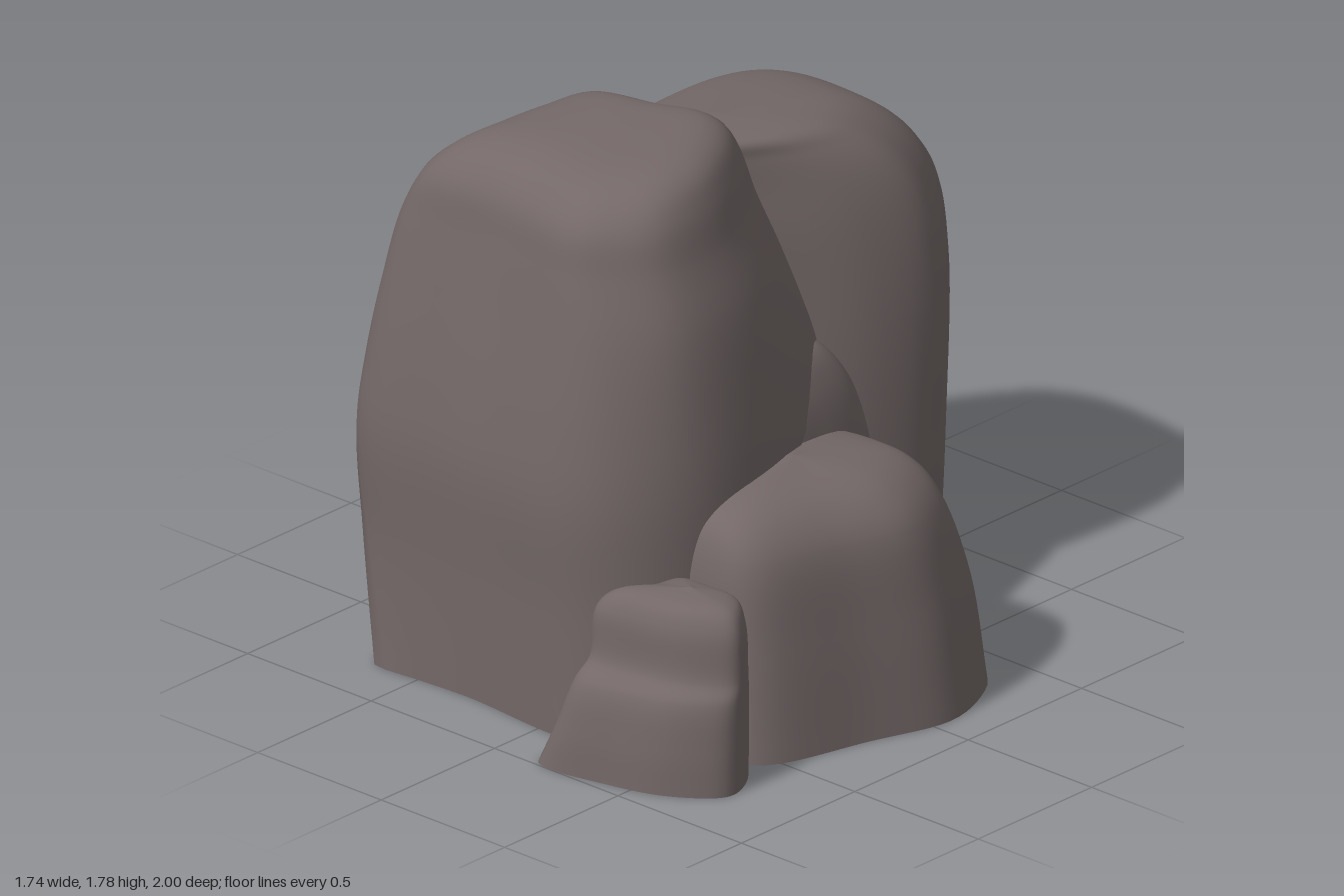
import * as THREE from 'three';

const SIDES = 72, STEPS = 7;

// Smooth closed plan outline, sampled evenly and turned to face outward
function samplePlan(points) {
  const curve = new THREE.CatmullRomCurve3(
    points.map(([x, z]) => new THREE.Vector3(x, 0, z)), true, 'centripetal');
  const ring = curve.getSpacedPoints(SIDES).slice(0, SIDES).map(p => new THREE.Vector2(p.x, p.z));
  if (THREE.ShapeUtils.area(ring) > 0) ring.reverse();
  return ring;
}

// Rows of points up a boulder: the outline changes from foot to plan with height and is
// fitted to each level [y, x0, x1, z0, z1]; the crown may lean by slope [x, z],
// and apex [x, y, z] closes it
function boulderRows({ plan, foot = plan, levels, apex, slope = [0, 0] }) {
  const upper = samplePlan(plan), lower = samplePlan(foot);
  const columns = upper.map(() => []);
  for (const [y, x0, x1, z0, z1] of levels) {
    const ring = lower.map((p, i) => p.clone().lerp(upper[i], Math.min(1, y / apex[1] * 1.15)));
    const box = new THREE.Box2().setFromPoints(ring);
    const size = box.getSize(new THREE.Vector2());
    const lean = (y / apex[1]) ** 3;
    ring.forEach((p, i) => {
      const x = x0 + (x1 - x0) * (p.x - box.min.x) / size.x;
      const z = z0 + (z1 - z0) * (p.y - box.min.y) / size.y;
      const rise = lean * (slope[0] * (x - apex[0]) + slope[1] * (z - apex[2]));
      columns[i].push(new THREE.Vector3(x, y + rise, z));
    });
  }
  const curves = columns.map(points =>
    new THREE.CatmullRomCurve3([...points, new THREE.Vector3(...apex)], false, 'centripetal')
      .getPoints(levels.length * STEPS));
  return curves[0].map((_, r) => {
    const points = curves.map(curve => curve[r]);
    return { points, y: points.reduce((sum, p) => sum + p.y, 0) / SIDES };
  });
}

// True where a point is buried in a boulder given by its rows
function buried(p, rows) {
  const row = rows.find(r => r.y >= p.y);
  if (!row) return false;
  let inside = false;
  row.points.forEach((a, i) => {
    const b = row.points[(i + 1) % SIDES];
    if ((a.z > p.z) !== (b.z > p.z) && p.x < a.x + (b.x - a.x) * (p.z - a.z) / (b.z - a.z)) inside = !inside;
  });
  return inside;
}

// Skin over the rows, open at the base, leaving out faces buried in the other boulders
function boulderSkin(rows, others) {
  const points = rows.flatMap(row => row.points);
  const index = [];
  for (let r = 0; r < rows.length - 1; r++) {
    for (let i = 0; i < SIDES; i++) {
      const a = r * SIDES + i, b = r * SIDES + (i + 1) % SIDES;
      index.push(a, b, b + SIDES, a, b + SIDES, a + SIDES);
    }
  }
  const geometry = new THREE.BufferGeometry().setFromPoints(points);
  geometry.setIndex(index);
  geometry.computeVertexNormals();
  const hidden = points.map(p => others.some(other => buried(p, other)));
  const kept = [];
  for (let t = 0; t < index.length; t += 3) {
    const face = index.slice(t, t + 3);
    if (!face.every(v => hidden[v])) kept.push(...face);
  }
  geometry.setIndex(kept);
  return geometry;
}

const rocks = {
  // Tallest boulder at the front, undercut at the back by a cleft
  frontBoulder: {
    plan: [[-.62, -.1], [-.72, .17], [-.78, .45], [-.81, .7], [-.75, .77], [-.6, .79], [-.3, .78], [.13, .84],
      [.27, .77], [.42, .6], [.43, .25], [.2, -.2], [.05, -.27], [-.2, -.2]],
    foot: [[-.46, .2], [-.67, .38], [-.69, .6], [-.7, .79], [-.66, .81], [-.5, .8], [-.3, .79], [.13, .81],
      [.27, .75], [.41, .58], [.42, .25], [.25, -.2], [.08, -.27], [-.05, .09]],
    levels: [[0, -.70, .42, -.3, .81], [.4, -.77, .43, -.3, .82], [.75, -.81, .435, -.3, .84],
      [1, -.79, .42, -.25, .82], [1.3, -.74, .38, -.14, .78], [1.5, -.69, .32, -.07, .75],
      [1.64, -.62, .28, -.02, .72], [1.72, -.54, .23, .03, .65], [1.76, -.44, .15, .1, .55]],
    apex: [-.1, 1.775, .3], slope: [.035, -.09],
  },
  // Broad boulder behind it
  backBoulder: {
    plan: [[-.72, -.3], [-.74, -.75], [-.66, -.92], [-.5, -1], [-.2, -1], [.03, -.95], [.17, -.8],
      [.25, -.67], [.2, -.45], [.03, -.2], [-.13, .02], [-.3, .2], [-.52, .2], [-.65, 0]],
    foot: [[-.85, -.35], [-.83, -.79], [-.7, -.87], [-.5, -.93], [-.2, -.95], [.03, -.9], [.15, -.8],
      [.22, -.67], [.2, -.45], [.12, -.2], [.02, 0], [-.28, -.06], [-.65, -.08], [-.83, -.12]],
    levels: [[0, -.85, .22, -.95, 0], [.5, -.84, .24, -.985, .03], [1.05, -.78, .25, -1, .12],
      [1.28, -.69, .22, -.97, .18], [1.42, -.62, .17, -.89, .2], [1.52, -.54, .1, -.77, .2],
      [1.58, -.46, .02, -.62, .2]],
    apex: [-.24, 1.61, -.2], slope: [.05, .03],
  },
  // Shoulder on the outer side of the back boulder
  sideShoulder: {
    plan: [[-.7, -.87], [-.82, -.79], [-.87, -.6], [-.87, -.17], [-.81, -.1], [-.67, -.08],
      [-.55, -.2], [-.55, -.6]],
    levels: [[0, -.87, -.55, -.86, -.08], [.5, -.865, -.55, -.86, -.09], [.98, -.85, -.55, -.82, -.12],
      [1.09, -.81, -.55, -.74, -.18], [1.15, -.75, -.55, -.64, -.25]],
    apex: [-.65, 1.2, -.45],
  },
  // Low boulder beside the tall ones
  lowBoulder: {
    plan: [[.2, -.3], [.38, -.37], [.56, -.39], [.72, -.37], [.82, -.24], [.87, -.06], [.78, .22],
      [.68, .52], [.6, .59], [.4, .6], [.2, .58]],
    levels: [[0, .2, .87, -.39, .6], [.35, .2, .83, -.35, .59], [.62, .2, .775, -.27, .57],
      [.71, .2, .71, -.23, .53], [.765, .22, .62, -.16, .44]],
    apex: [.42, .805, .14],
  },
  // Wedge filling the gap between the boulders
  gapWedge: {
    plan: [[.1, -.38], [.2, -.43], [.28, -.41], [.35, -.36], [.4, -.1], [.38, .2], [.15, .25], [0, -.1]],
    levels: [[0, 0, .4, -.43, .25], [.4, 0, .4, -.4, .25], [.75, 0, .38, -.34, .25],
      [.92, .03, .34, -.27, .22], [1.02, .08, .28, -.17, .18]],
    apex: [.18, 1.05, 0],
  },
  // Small stepped stone at the front
  frontStone: {
    plan: [[.3, .62], [.25, .8], [.15, .97], [.2, 1], [.4, .97], [.6, .91], [.74, .8], [.75, .74],
      [.66, .6], [.5, .59]],
    levels: [[0, .15, .75, .59, 1], [.14, .21, .75, .595, .985], [.29, .255, .745, .6, .95],
      [.35, .265, .735, .6, .89], [.5, .27, .72, .6, .87], [.56, .32, .68, .61, .83]],
    apex: [.52, .59, .7],
  },
};

export function createModel() {
  const group = new THREE.Group();
  group.name = 'rockCluster';
  const stone = new THREE.MeshStandardMaterial({ color: 0x736867, side: THREE.DoubleSide });
  stone.name = 'warmGreyStone';
  const allRows = Object.values(rocks).map(boulderRows);
  Object.keys(rocks).forEach((name, i) => {
    const others = allRows.filter((_, j) => j !== i);
    const mesh = new THREE.Mesh(boulderSkin(allRows[i], others), stone);
    mesh.name = name;
    group.add(mesh);
  });
  return group;
}
